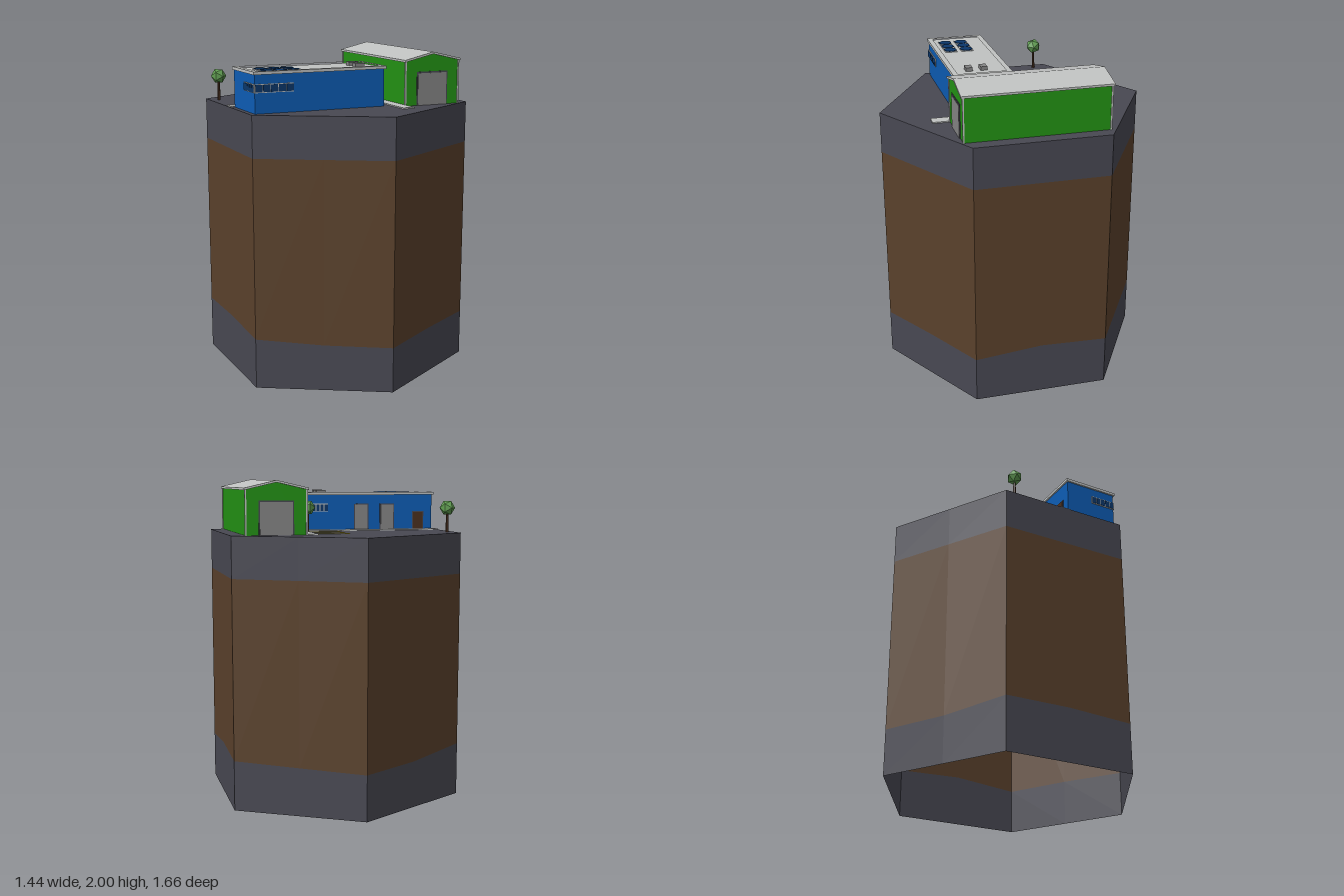
import * as THREE from 'three';

const mat = (name, color, extra = {}) => {
  const m = new THREE.MeshStandardMaterial({ color, flatShading: true, ...extra });
  m.name = name;
  return m;
};

export function createModel() {
  const two = { side: THREE.DoubleSide };
  const slate = mat('slate', 0x484852, two), soil = mat('soil', 0x5a412b, two);
  const concrete = mat('concrete', 0xc0c2c1), blue = mat('blue wall', 0x0d5db5);
  const green = mat('green wall', 0x239214), grey = mat('grey door', 0x858585);
  const yellow = mat('yellow paint', 0xcdb926), navy = mat('navy glass', 0x0b376b);
  const leaf = mat('leaf', 0x5f9c50), bark = mat('bark', 0x4a301e);

  const root = new THREE.Group();
  root.name = 'groundBlockWithBuildings';
  const G = 1.675, R = 0.832;

  const add = (parent, name, geo, material, x = 0, y = 0, z = 0) => {
    const m = new THREE.Mesh(geo, material);
    m.name = name;
    m.position.set(x, y, z);
    parent.add(m);
    return m;
  };
  // Box given by its extents
  const box = (parent, name, material, x0, x1, y0, y1, z0, z1) =>
    add(parent, name, new THREE.BoxGeometry(x1 - x0, y1 - y0, z1 - z0), material,
      (x0 + x1) / 2, (y0 + y1) / 2, (z0 + z1) / 2);

  // Hollow hexagonal ground block, open below, with a wavy lower soil line
  const corner = k => [R * Math.sin(k * Math.PI / 3), R * Math.cos(k * Math.PI / 3)];
  const rim = [];
  for (let i = 0; i < 12; i++) {
    const a = corner(Math.floor(i / 2)), b = corner(Math.ceil(i / 2));
    rim.push([(a[0] + b[0]) / 2, (a[1] + b[1]) / 2]);
  }
  const wave = [0.31, 0.286, 0.282, 0.29, 0.286, 0.325, 0.31, 0.297, 0.285, 0.29, 0.33, 0.332];
  const band = (name, material, low, high) => {
    const p = [];
    for (let i = 0; i < 12; i++) {
      const j = (i + 1) % 12, a = rim[i], b = rim[j];
      const v = (q, y) => [q[0], y, q[1]];
      p.push(...v(a, low(i)), ...v(b, low(j)), ...v(b, high(j)),
        ...v(a, low(i)), ...v(b, high(j)), ...v(a, high(i)));
    }
    const g = new THREE.BufferGeometry();
    g.setAttribute('position', new THREE.Float32BufferAttribute(p, 3));
    g.computeVertexNormals();
    add(root, name, g, material);
  };
  band('lowerRockBand', slate, () => 0, i => wave[i]);
  band('soilBand', soil, i => wave[i], () => 1.42);
  band('upperRockBand', slate, () => 1.42, () => G);
  const top = new THREE.CircleGeometry(R, 6, Math.PI / 6);
  top.rotateX(-Math.PI / 2);
  add(root, 'groundTop', top, slate, 0, G, 0);

  // Site rotated on the block
  const site = new THREE.Group();
  site.name = 'site';
  site.rotation.y = -Math.PI / 6;
  root.add(site);

  // Pavements and parking lines
  box(site, 'officePavement', concrete, -0.025, 0.05, G, G + 0.007, -0.195, 0.715);
  box(site, 'shedPavement', concrete, -0.437, 0.556, G, G + 0.007, -0.27, -0.195);
  for (const x of [-0.362, -0.241, -0.12])
    box(site, 'parkingLine', yellow, x - 0.008, x + 0.008, G, G + 0.003, -0.195, 0.02);

  // Shed with a gabled roof
  const shed = new THREE.Group();
  shed.name = 'shed';
  site.add(shed);
  const prism = (pts, length) => {
    const g = new THREE.ExtrudeGeometry(new THREE.Shape(pts.map(p => new THREE.Vector2(...p))),
      { depth: length, bevelEnabled: false });
    g.translate(0, 0, -length / 2);
    return g.rotateY(Math.PI / 2);
  };
  const sz = -0.45, sx = 0.01;
  add(shed, 'shedWalls', prism([[-0.185, G], [0.185, G], [0.185, 1.946], [0, 1.988], [-0.185, 1.946]], 0.88),
    green, sx, 0, sz);
  add(shed, 'shedRoof', prism([[-0.195, 1.942], [0, 1.987], [0.195, 1.942], [0.195, 1.955], [0, 2], [-0.195, 1.955]], 0.906),
    concrete, sx, 0, sz);
  for (const s of [-1, 1]) {
    const end = sx + s * 0.44;
    add(shed, 'shedDoorFrame', new THREE.BoxGeometry(0.008, 0.206, 0.214), slate, end, G + 0.103, sz);
    add(shed, 'shedDoor', new THREE.BoxGeometry(0.014, 0.197, 0.198), grey, end, G + 0.0985, sz);
    for (const t of [-1, 1])
      add(shed, 'cornerTrim', new THREE.BoxGeometry(0.01, 0.27, 0.01), concrete, end, G + 0.135, sz + t * 0.185);
  }

  // Flat-roofed office
  const office = new THREE.Group();
  office.name = 'office';
  site.add(office);
  const X0 = 0.045, X1 = 0.39, Z0 = -0.15, Z1 = 0.69;
  box(office, 'officeWalls', blue, X0, X1, G, 1.905, Z0, Z1);
  box(office, 'roofDeck', concrete, X0, X1, 1.904, 1.911, Z0, Z1);
  const rect = (C, x0, x1, z0, z1) => {
    const s = new C();
    s.moveTo(x0, -z0); s.lineTo(x1, -z0); s.lineTo(x1, -z1); s.lineTo(x0, -z1); s.closePath();
    return s;
  };
  const parapet = rect(THREE.Shape, 0.035, 0.4, -0.16, 0.7);
  parapet.holes.push(rect(THREE.Path, 0.067, 0.368, -0.128, 0.668));
  const rimGeo = new THREE.ExtrudeGeometry(parapet, { depth: 0.018, bevelEnabled: false });
  rimGeo.rotateX(-Math.PI / 2);
  add(office, 'roofParapet', rimGeo, concrete, 0, 1.903, 0);

  // Solar panels and roof units
  for (const x of [0.197, 0.301]) for (const z of [0.41, 0.494, 0.578]) {
    box(office, 'solarFrame', concrete, x - 0.039, x + 0.039, 1.911, 1.915, z - 0.039, z + 0.039);
    const panel = new THREE.CylinderGeometry(0.041, 0.041, 0.004, 8);
    panel.rotateY(Math.PI / 8);
    add(office, 'solarPanel', panel, navy, x, 1.917, z);
  }
  for (const x of [0.19, 0.282])
    box(office, 'roofUnit', grey, x - 0.021, x + 0.021, 1.911, 1.934, -0.06, 0.0);

  // Ribbon windows wrapping two opposite corners
  const ribbon = (x0, x1, z0, z1, alongX) => {
    const e = 0.004;
    const ex = alongX ? 0 : 1, ez = 1 - ex;
    box(office, 'windowFrame', concrete, x0 - ex * e, x1 + ex * e, 1.797, 1.848, z0 - ez * e, z1 + ez * e);
    const n = 5, dx = (x1 - x0) / n, dz = (z1 - z0) / n, gap = 0.0025, f = 0.006;
    for (let i = 0; i < n; i++) {
      if (alongX) box(office, 'windowPane', navy, x0 + i * dx + gap, x0 + (i + 1) * dx - gap, 1.801, 1.844, z0 - f, z1 + f);
      else box(office, 'windowPane', navy, x0 - f, x1 + f, 1.801, 1.844, z0 + i * dz + gap, z0 + (i + 1) * dz - gap);
    }
  };
  const t = 0.001;
  ribbon(0.225, X1, Z1 - t, Z1 + t, true);
  ribbon(X1 - t, X1 + t, 0.446, Z1, false);
  ribbon(X0, 0.21, Z0 - t, Z0 + t, true);
  ribbon(X0 - t, X0 + t, Z0, -0.015, false);

  // Office doors
  for (const [name, z0, z1, h, m] of [['garageDoor', 0.165, 0.25, 0.165, grey],
    ['garageDoor', 0.34, 0.425, 0.165, grey], ['entranceDoor', 0.562, 0.628, 0.115, bark]]) {
    box(office, name + 'Frame', slate, X0 - 0.003, X0, G, G + h + 0.006, z0 - 0.006, z1 + 0.006);
    box(office, name, m, X0 - 0.006, X0, G, G + h, z0, z1);
  }

  // Trees
  for (const [x, z, turn] of [[-0.615, 0.41, 0.3], [0.03, -0.185, 1.2]]) {
    const tree = new THREE.Group();
    tree.name = 'tree';
    tree.position.set(x, G, z);
    tree.rotation.y = turn;
    root.add(tree);
    add(tree, 'trunk', new THREE.CylinderGeometry(0.007, 0.01, 0.13, 6), bark, 0, 0.065, 0);
    add(tree, 'foliage', new THREE.IcosahedronGeometry(0.049, 0), leaf, 0, 0.152, 0);
  }
  return root;
}
